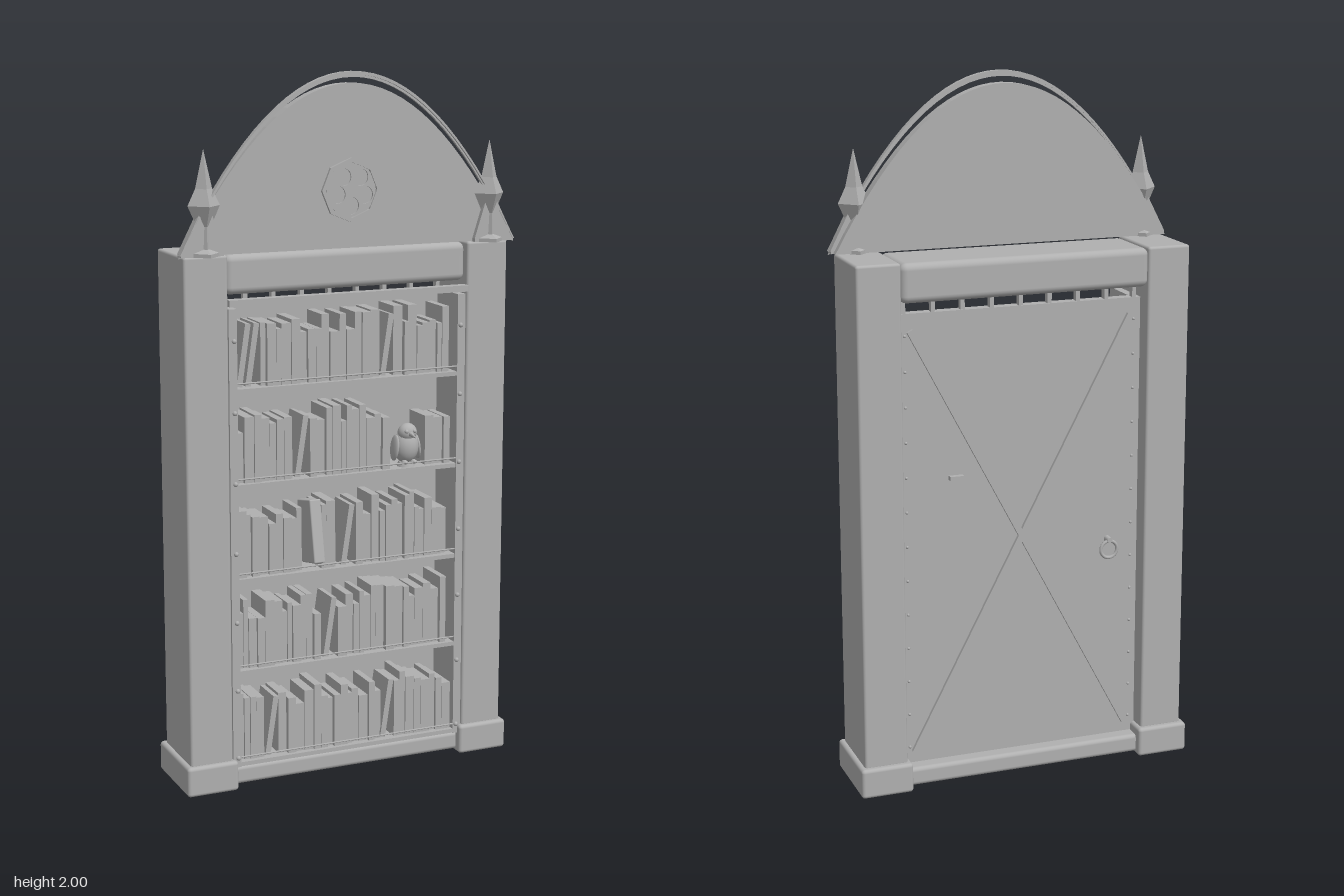
import * as THREE from 'three';
import { RoundedBoxGeometry } from 'three/addons/geometries/RoundedBoxGeometry.js';

const stone = new THREE.MeshStandardMaterial({ color: 0xb0b0b0 });
stone.name = 'plain grey';

export function createModel() {
  const model = new THREE.Group();
  model.name = 'bookcaseDoor';

  const add = (name, geometry, x = 0, y = 0, z = 0, parent = model) => {
    const mesh = new THREE.Mesh(geometry, stone);
    mesh.name = name;
    mesh.position.set(x, y, z);
    parent.add(mesh);
    return mesh;
  };
  // Boxes given by their limits on each axis
  const box = (name, x0, x1, y0, y1, z0, z1, r = 0, parent = model) => {
    const size = [x1 - x0, y1 - y0, z1 - z0];
    const g = r ? new RoundedBoxGeometry(...size, 3, r) : new THREE.BoxGeometry(...size);
    return add(name, g, (x0 + x1) / 2, (y0 + y1) / 2, (z0 + z1) / 2, parent);
  };
  const extrude = (shape, depth) =>
    new THREE.ExtrudeGeometry(shape, { depth, bevelEnabled: false, curveSegments: 20 });
  const flat = (g) => {
    const f = g.toNonIndexed();
    f.computeVertexNormals();
    return f;
  };

  // Pillars, their bases, the faceted pinnacles and the flared feet below them
  const pinnacleProfile = [
    [0, 1.52], [0.052, 1.52], [0.052, 1.53], [0.024, 1.54], [0.021, 1.6],
    [0.046, 1.655], [0.024, 1.7], [0, 1.805],
  ].map(([r, y]) => new THREE.Vector2(r, y));
  for (const s of [-1, 1]) {
    const side = s > 0 ? 'left' : 'right';
    const pillar = box(side + 'Pillar', 0.36, 0.486, 0.08, 1.52, -0.125, 0.09, 0.008);
    const base = box(side + 'PillarBase', 0.348, 0.5, 0, 0.087, -0.142, 0.104, 0.01);
    pillar.position.x *= s;
    base.position.x *= s;
    add(side + 'Pinnacle', flat(new THREE.LatheGeometry(pinnacleProfile, 4)), s * 0.425, 0, 0.088);
    const foot = [[0.375, 1.52], [0.497, 1.52], [0.497, 1.53], [0.44, 1.64], [0.41, 1.64], [0.375, 1.53]];
    const footShape = new THREE.Shape(foot.map(([x, y]) => new THREE.Vector2(s * x, y)));
    add(side + 'PinnacleFoot', extrude(footShape, 0.028), 0, 0, 0.076);
  }

  // Lintel and sill
  box('lintel', -0.362, 0.362, 1.408, 1.518, -0.128, 0.075, 0.02);
  box('sill', -0.355, 0.355, 0.008, 0.062, -0.12, 0.08, 0.012);

  // Arched pediment with two curved mouldings
  const curve = (top, k, halfWidth, n = 32) => Array.from({ length: n + 1 }, (_, i) => {
    const x = halfWidth * (1 - (2 * i) / n);
    return new THREE.Vector2(x, top - k * x * x);
  });
  add('pediment', extrude(new THREE.Shape(curve(1.968, 1.86, 0.49)), 0.034), 0, 0, 0.055);
  const band = (outer, inner) => new THREE.Shape([
    ...curve(outer, 1.9, 0.5), ...curve(inner, 1.9, 0.494).reverse(),
  ]);
  add('archMoulding', extrude(band(2, 1.991), 0.018), 0, 0, 0.087);
  add('innerArchMoulding', extrude(band(1.991, 1.984), 0.01), 0, 0, 0.088);

  // Tracery rosette: octagon plate pierced by five circles
  const octagon = (r) => Array.from({ length: 8 }, (_, i) => {
    const a = i * Math.PI / 4;
    return new THREE.Vector2(Math.cos(a) * r, Math.sin(a) * r);
  });
  const rim = new THREE.Shape(octagon(0.088));
  rim.holes.push(new THREE.Path(octagon(0.076)));
  add('rosetteRim', extrude(rim, 0.01), 0, 1.68, 0.088);
  const tracery = new THREE.Shape();
  tracery.absarc(0, 0, 0.073, 0, Math.PI * 2);
  for (let i = 0; i < 5; i++) {
    const a = Math.PI / 2 + 0.6 + i * Math.PI * 0.4;
    const hole = new THREE.Path();
    hole.absarc(Math.cos(a) * 0.043, Math.sin(a) * 0.043, 0.024, 0, Math.PI * 2, true);
    tracery.holes.push(hole);
  }
  add('rosetteTracery', extrude(tracery, 0.006), 0, 1.68, 0.088);

  // Door panel, side stiles and the top rail with its small dentils
  box('doorPanel', -0.358, 0.358, 0.062, 1.372, -0.076, -0.045);
  for (const s of [-1, 1]) {
    const stile = box('doorStile', 0.334, 0.358, 0.062, 1.372, -0.045, 0.086);
    stile.position.x *= s;
  }
  box('topRail', -0.36, 0.36, 1.38, 1.398, 0.07, 0.099);
  for (let i = 0; i < 9; i++) {
    const x = -0.34 + i * 0.085;
    box('dentil', x - 0.006, x + 0.006, 1.37, 1.41, -0.074, -0.055);
  }

  // Rivets on both faces
  const frontRivet = new THREE.SphereGeometry(0.007, 8, 6);
  const backRivet = new THREE.SphereGeometry(0.0045, 8, 6);
  for (const s of [-1, 1]) {
    for (let i = 0; i < 7; i++) add('frontRivet', frontRivet, s * 0.343, 0.09 + i * 0.199, 0.087);
    for (let i = 0; i < 13; i++) add('backRivet', backRivet, s * 0.338, 0.11 + i * 0.1, -0.076);
  }

  // Crossed straps, ring handle and spy plate on the back
  const strapLength = Math.hypot(0.65, 1.23);
  for (const s of [-1, 1]) {
    const strap = add('crossStrap', new THREE.BoxGeometry(0.018, strapLength, 0.012), 0, 0.71, -0.08);
    strap.rotation.z = s * Math.atan2(0.65, 1.23);
  }
  add('ringHandle', new THREE.TorusGeometry(0.025, 0.005, 8, 24), -0.265, 0.64, -0.092);
  const mount = add('ringMount', new THREE.CylinderGeometry(0.008, 0.01, 0.024, 10), -0.265, 0.668, -0.087);
  mount.rotation.x = -Math.PI / 2;
  box('spyPlate', 0.175, 0.215, 0.893, 0.905, -0.092, -0.076);

  // Rows of books: leaning books and empty spans are listed per shelf
  let seed = 7;
  const rand = () => (seed = (seed * 16807) % 2147483647) / 2147483647;
  const shelves = [
    { y: 0.075, leans: [-0.235, 0.125] },
    { y: 0.345, leans: [-0.055] },
    { y: 0.612, leans: [0.0], gap: [-0.12, -0.08] },
    { y: 0.882, leans: [-0.14], gap: [0.14, 0.245] },
    { y: 1.15, leans: [-0.31, -0.285, 0.12] },
  ];
  for (const { y, leans, gap } of shelves) {
    const row = new THREE.Group();
    row.name = 'bookShelf';
    model.add(row);
    box('shelfBoard', -0.334, 0.334, y - 0.012, y, -0.045, 0.084, 0, row);
    const rod = add('shelfRail', new THREE.CylinderGeometry(0.0025, 0.0025, 0.668, 8), 0, y + 0.015, 0.083, row);
    rod.rotation.z = Math.PI / 2;
    for (let x = -0.33; x < 0.305;) {
      const w = 0.014 + rand() * 0.016, h = 0.135 + rand() * 0.065, front = 0.058 + rand() * 0.016;
      const inGap = gap && x + w > gap[0] && x < gap[1];
      const lean = leans.find((l) => Math.abs(x + w / 2 - l) < 0.024);
      if (inGap) {
        x = gap[1];
      } else if (lean !== undefined) {
        const book = box('leaningBook', lean - 0.008, lean + 0.008, y + 0.003, y + 0.178, -0.03, 0.072, 0, row);
        book.rotation.z = -0.15;
        x = Math.max(x + w, lean + 0.025);
      } else {
        box('book', x, x + w - 0.001, y, y + h, -0.04, front, 0, row);
        x += w;
      }
    }
  }

  // Lever book with its foot pulled out
  const lever = box('leverBook', -0.117, -0.083, 0.628, 0.808, -0.005, 0.09, 0.004);
  lever.rotation.x = -0.2;

  // Small carved bird
  const bird = new THREE.Group();
  bird.name = 'bird';
  bird.position.set(0.19, 0.882, 0.065);
  model.add(bird);
  const ball = new THREE.SphereGeometry(1, 16, 12);
  add('birdBody', ball, 0, 0.058, -0.012, bird).scale.set(0.037, 0.05, 0.035);
  add('birdHead', ball, 0, 0.1, -0.004, bird).scale.set(0.028, 0.026, 0.026);
  const beak = add('birdBeak', new THREE.ConeGeometry(0.009, 0.046, 8), 0, 0.096, 0.034, bird);
  beak.rotation.x = Math.PI / 2 + 0.15;
  add('birdPerch', new THREE.CylinderGeometry(0.022, 0.026, 0.014, 14), 0, 0.007, -0.012, bird);
  for (const s of [-1, 1]) {
    const wing = add('birdWing', ball, s * 0.034, 0.055, -0.015, bird);
    wing.scale.set(0.008, 0.038, 0.025);
    wing.rotation.z = s * 0.12;
    add('birdEye', ball, s * 0.012, 0.106, 0.017, bird).scale.setScalar(0.006);
    add('birdFoot', ball, s * 0.014, 0.016, 0.01, bird).scale.set(0.008, 0.006, 0.014);
  }
  return model;
}
